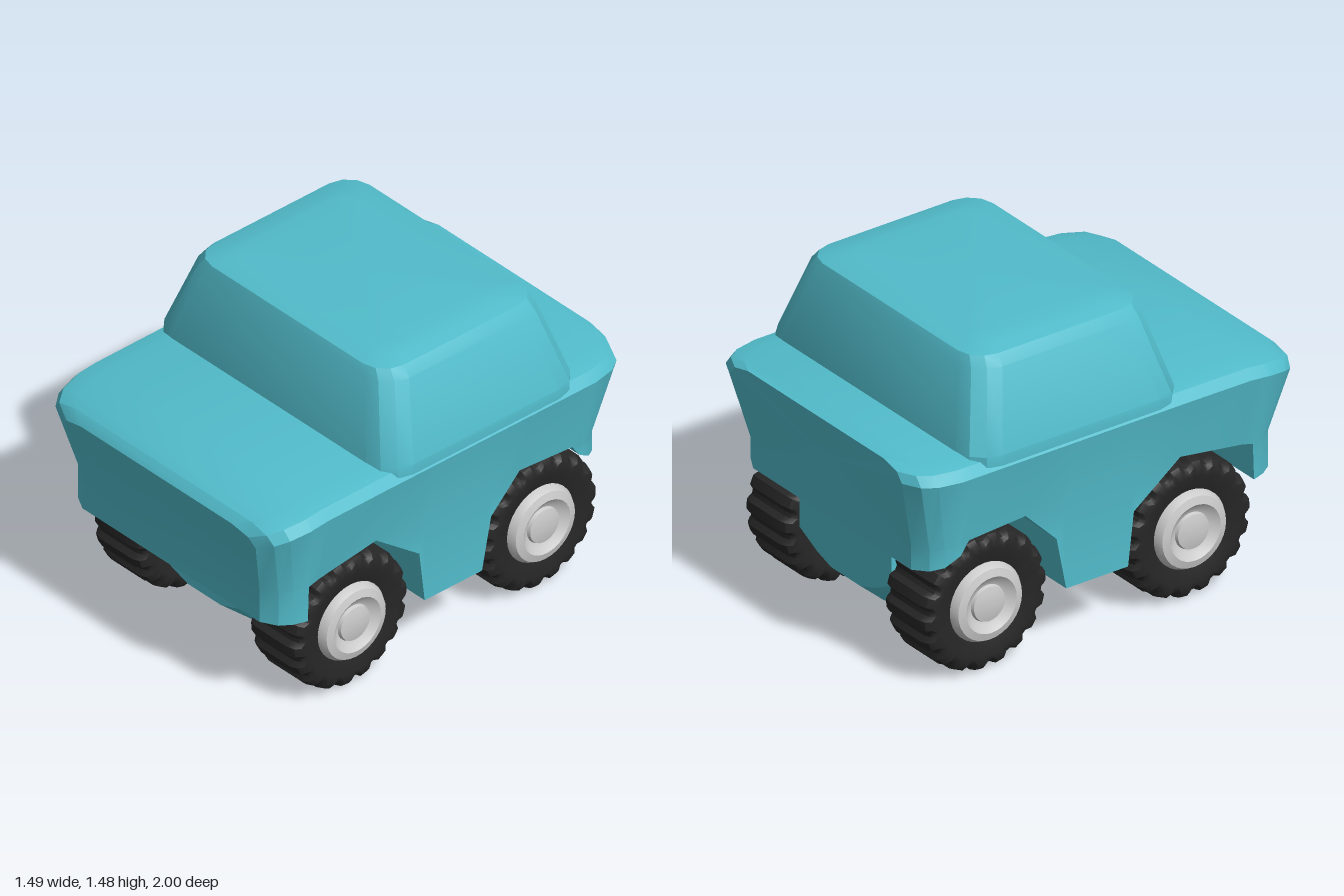
import * as THREE from 'three';
import { toCreasedNormals } from 'three/addons/utils/BufferGeometryUtils.js';

const paint = new THREE.MeshStandardMaterial({ color: 0x52bccb });
const rubber = new THREE.MeshStandardMaterial({ color: 0x262626 });
const metal = new THREE.MeshStandardMaterial({ color: 0xcccccc });

const WHEEL_Y = 0.325;
const AXLES = [0.47, -0.585];

// Skin a list of closed loops and cap both ends
function loft(rings, crease = 0.4) {
  const pos = [];
  const tri = (...pts) => pts.forEach((p) => pos.push(...p));
  const n = rings[0].length;
  for (let i = 0; i < rings.length - 1; i++) {
    for (let j = 0; j < n; j++) {
      const k = (j + 1) % n;
      const a = rings[i][j], b = rings[i][k], c = rings[i + 1][k], d = rings[i + 1][j];
      tri(a, d, c);
      tri(a, c, b);
    }
  }
  const cap = (ring, flip) => {
    const mid = [0, 1, 2].map((c) => ring.reduce((s, p) => s + p[c], 0) / n);
    ring.forEach((p, j) => {
      const q = ring[(j + 1) % n];
      if (flip) tri(mid, q, p);
      else tri(mid, p, q);
    });
  };
  cap(rings[0], false);
  cap(rings[rings.length - 1], true);
  const geo = new THREE.BufferGeometry();
  geo.setAttribute('position', new THREE.Float32BufferAttribute(pos, 3));
  return toCreasedNormals(geo, crease);
}

// Mirror the +x half of a section into a closed loop
const mirrored = (half) => [...half, ...half.slice().reverse().map(([x, y, z]) => [-x, y, z])];

function named(geo, material, name) {
  const mesh = new THREE.Mesh(geo, material);
  mesh.name = name;
  return mesh;
}

// Main shell: stations of z, half width, underside height, deck height
function createBody() {
  const stations = [
    [1.0, 0.60, 0.49, 0.985], [0.96, 0.68, 0.49, 1.02], [0.9, 0.72, 0.49, 1.042],
    [0.8, 0.742, 0.49, 1.058], [0.79, 0.742, 0.66, 1.06], [0.7, 0.742, 0.675, 1.068],
    [0.38, 0.742, 0.72, 1.07], [0.14, 0.742, 0.54, 1.07], [0.11, 0.742, 0.29, 1.07],
    [-0.21, 0.742, 0.29, 1.07], [-0.26, 0.742, 0.54, 1.07], [-0.42, 0.742, 0.7, 1.07],
    [-0.72, 0.742, 0.68, 1.07], [-0.79, 0.742, 0.62, 1.07], [-0.9, 0.72, 0.575, 1.07],
    [-0.96, 0.68, 0.56, 1.07], [-1.0, 0.60, 0.55, 1.07],
  ];
  const clamp = THREE.MathUtils.clamp;
  const rings = stations.map(([z, w, low, top]) => {
    const half = [
      [w * 0.917, low], [w * 0.917, Math.max(low, 0.66)],
      [w, top - 0.065], [w - 0.035, top - 0.022], [w - 0.13, top],
    ];
    // Nose and tail lean inwards towards the bottom
    return mirrored(half.map(([x, y]) => {
      const lean = 0.085 * clamp((1 - y) / 0.34, 0, 1) * clamp((Math.abs(z) - 0.7) / 0.22, 0, 1);
      return [x, y, z - Math.sign(z) * lean];
    }));
  });
  return named(loft(rings), paint, 'body');
}

// Cabin: rounded rectangles stacked from roof to base
function createCabin() {
  const levels = [
    [1.482, 0.46, 0.14, -0.48, 0.08], [1.475, 0.52, 0.2, -0.54, 0.09],
    [1.455, 0.59, 0.265, -0.615, 0.12], [1.41, 0.628, 0.28, -0.632, 0.13],
    [1.07, 0.745, 0.37, -0.725, 0.14], [1.02, 0.745, 0.37, -0.725, 0.14],
  ];
  const rings = levels.map(([y, w, front, back, r]) => {
    const ring = [];
    const corners = [[w - r, back + r], [r - w, back + r], [r - w, front - r], [w - r, front - r]];
    corners.forEach(([cx, cz], q) => {
      for (let s = 0; s <= 3; s++) {
        const a = (q + s / 3) * Math.PI / 2;
        ring.push([cx + r * Math.cos(a), y, cz - r * Math.sin(a)]);
      }
    });
    return ring;
  });
  return named(loft(rings), paint, 'cabin');
}

// Belly-shaped axle housing between a pair of wheels
function createHousing(z) {
  const stations = [
    [0.26, 0.35, 0.255], [0.14, 0.19, 0.15], [0.06, 0.17, 0.138],
    [-0.06, 0.17, 0.138], [-0.14, 0.19, 0.15], [-0.26, 0.35, 0.255],
  ];
  const rings = stations.map(([dz, side, centre]) => mirrored([
    [0.1, centre, z + dz], [0.2, centre * 0.65 + side * 0.35, z + dz],
    [0.32, side, z + dz], [0.32, 0.68, z + dz],
  ]));
  return named(loft(rings), paint, 'axleHousing');
}

// Tyre with cross bars: the lathe's outer rows drop inwards between lugs
function createTyreGeometry() {
  const half = [[0.17, 0.13], [0.25, 0.155], [0.29, 0.152], [0.312, 0.135], [0.323, 0.1]];
  const points = [...half.map(([r, y]) => [r, -y]), ...half.slice().reverse()]
    .map(([r, y]) => new THREE.Vector2(r, y));
  const geo = new THREE.LatheGeometry(points, 90);
  const p = geo.attributes.position;
  for (let i = 0; i < p.count; i++) {
    const column = Math.floor(i / points.length);
    const r = points[i % points.length].x;
    if (r > 0.28 && column % 5 >= 3) {
      const k = (r - 0.022) / r;
      p.setX(i, p.getX(i) * k);
      p.setZ(i, p.getZ(i) * k);
    }
  }
  return toCreasedNormals(geo, 0.6);
}

// Hub disc with dished face and centre cap
function createHubGeometry() {
  const points = [
    [0, -0.17], [0.13, -0.17], [0.182, -0.135], [0.182, 0.14], [0.165, 0.17], [0.13, 0.18],
    [0.1, 0.155], [0.085, 0.15], [0.08, 0.165], [0.05, 0.172], [0, 0.174],
  ].map(([r, y]) => new THREE.Vector2(r, y));
  return toCreasedNormals(new THREE.LatheGeometry(points, 32), 0.7);
}

export function createModel() {
  const model = new THREE.Group();
  model.name = 'truck';
  model.add(createBody(), createCabin());

  const tyre = createTyreGeometry();
  const hub = createHubGeometry();
  AXLES.forEach((z, i) => {
    model.add(createHousing(z));
    for (const side of [1, -1]) {
      const wheel = new THREE.Group();
      wheel.name = (i ? 'rear' : 'front') + (side > 0 ? 'Left' : 'Right') + 'Wheel';
      wheel.add(named(tyre, rubber, 'tyre'), named(hub, metal, 'hub'));
      wheel.position.set(side * 0.486, WHEEL_Y, z);
      wheel.rotation.z = -side * Math.PI / 2;
      model.add(wheel);
    }
  });
  return model;
}
